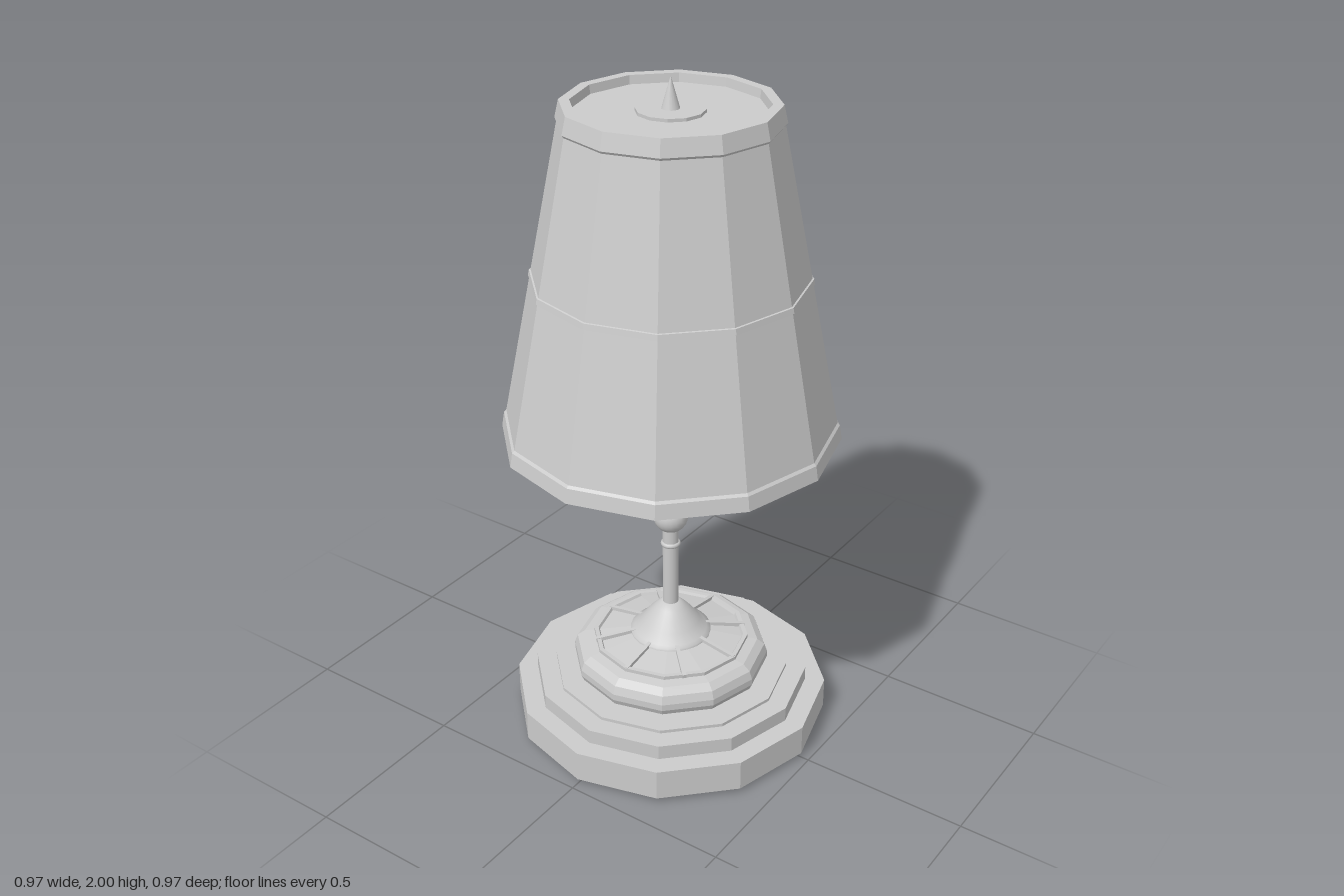
import * as THREE from 'three';

const smooth = new THREE.MeshStandardMaterial({ color: 0xcccccc });
const faceted = new THREE.MeshStandardMaterial({ color: 0xcccccc, flatShading: true });

export function createModel() {
  const lamp = new THREE.Group();
  lamp.name = 'tableLamp';

  const add = (name, geometry, material, y = 0, parent = lamp) => {
    const mesh = new THREE.Mesh(geometry, material);
    mesh.name = name;
    mesh.position.y = y;
    parent.add(mesh);
    return mesh;
  };
  // Profiles are [radius, height], running up the outer side
  const turned = (name, profile, sides, material) =>
    add(name, new THREE.LatheGeometry(profile.map(([r, y]) => new THREE.Vector2(r, y)), sides), material);
  // Places count copies evenly around the stem, the first one facing the front
  const around = (count, name, make) => {
    for (let i = 0; i < count; i++) {
      const spoke = new THREE.Group();
      spoke.name = name;
      spoke.rotation.y = (i / count) * Math.PI * 2;
      make(spoke);
      lamp.add(spoke);
    }
  };

  // Stepped twelve-sided base
  turned('basePlinth', [
    [0, 0.015], [0.475, 0.015], [0.475, 0.11], [0.415, 0.11], [0.415, 0.155],
    [0.355, 0.155], [0.355, 0.165], [0, 0.165],
  ], 12, faceted);

  // Feet under the plinth
  around(6, 'foot', (g) => {
    add('footPad', new THREE.CylinderGeometry(0.018, 0.018, 0.02, 12), smooth, 0.01, g).position.z = 0.425;
  });

  // Rounded cushion with a shallow sloping top
  turned('baseCushion', [
    [0.27, 0.16], [0.288, 0.172], [0.296, 0.19], [0.296, 0.21], [0.287, 0.235], [0.265, 0.252],
    [0.235, 0.257], [0.235, 0.268], [0.222, 0.268], [0.218, 0.26], [0.115, 0.278], [0, 0.278],
  ], 12, faceted);

  // Radial ribs over the cushion top
  around(8, 'cushionRib', (g) => {
    const rib = add('rib', new THREE.BoxGeometry(0.012, 0.014, 0.125), smooth, 0.272, g);
    rib.position.z = 0.168;
    rib.rotation.x = 0.16;
  });

  // Flared collar leading into the stem
  turned('stemCollar', [
    [0.122, 0.27], [0.122, 0.284], [0.11, 0.288], [0.088, 0.315], [0.066, 0.343],
    [0.045, 0.366], [0.026, 0.381], [0, 0.383],
  ], 24, smooth);

  // Stem with rings and a ball
  add('stem', new THREE.CylinderGeometry(0.024, 0.024, 1.54, 16), smooth, 1.13);
  for (const y of [0.585, 0.77]) {
    const ring = add('stemRing', new THREE.TorusGeometry(0.022, 0.008, 8, 20), smooth, y);
    ring.rotation.x = Math.PI / 2;
  }
  add('stemBall', new THREE.SphereGeometry(0.052, 20, 14), smooth, 0.68);

  // Spokes holding the shade
  around(6, 'shadeSpoke', (g) => {
    const spoke = add('spokeRod', new THREE.CylinderGeometry(0.014, 0.007, 0.41, 8), smooth, 1.22, g);
    spoke.rotation.x = Math.PI / 2;
    spoke.position.z = 0.205;
  });

  // Tapered hollow shade with top and bottom trims
  turned('shade', [
    [0, 1.89], [0.285, 1.89], [0.462, 1.0], [0.474, 0.96], [0.487, 0.96], [0.48, 1.003], [0.473, 1.01],
    [0.3, 1.875], [0.305, 1.882], [0.294, 1.93], [0.265, 1.93], [0.262, 1.905], [0, 1.905],
  ], 12, faceted);

  // Narrow band around the middle of the shade
  turned('shadeBand', [
    [0.386, 1.43], [0.393, 1.432], [0.39, 1.448], [0.382, 1.45],
  ], 12, faceted);

  // Disc and pointed finial on top
  add('finialDisc', new THREE.CylinderGeometry(0.094, 0.094, 0.01, 12), faceted, 1.909);
  add('finial', new THREE.ConeGeometry(0.026, 0.09, 16), smooth, 1.955);

  return lamp;
}
